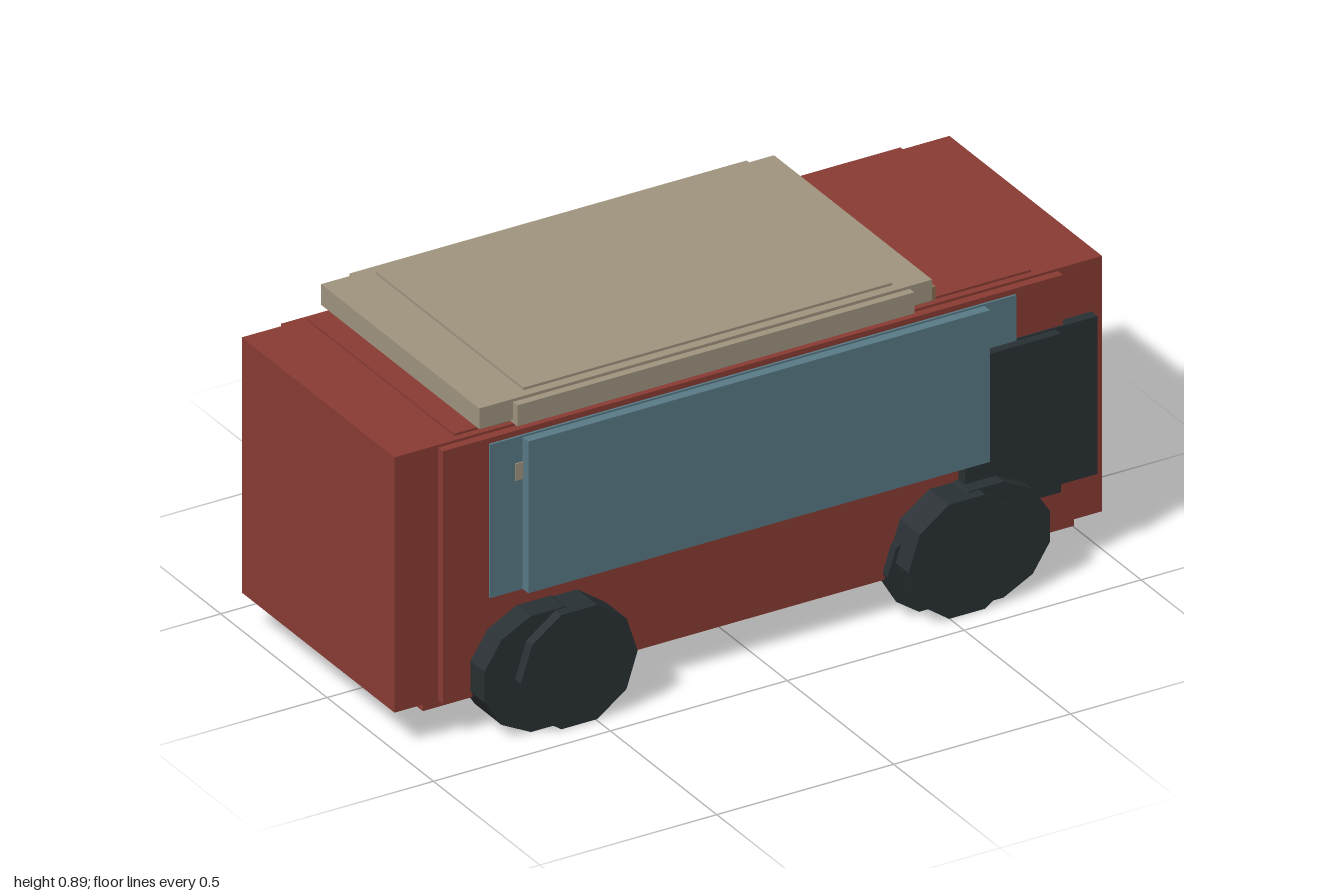
import * as THREE from 'three';

const mat = (color) => new THREE.MeshStandardMaterial({ color, flatShading: true });

export function createModel() {
  const model = new THREE.Group();
  const red = mat(0x8a3b34), tan = mat(0xa0947f), brown = mat(0x8c7053);
  const blue = mat(0x587a87), dark = mat(0x293033);

  // Box given by its limits on each axis
  const box = (name, m, [x0, x1], [y0, y1], [z0, z1]) => {
    const mesh = new THREE.Mesh(new THREE.BoxGeometry(x1 - x0, y1 - y0, z1 - z0), m);
    mesh.position.set((x0 + x1) / 2, (y0 + y1) / 2, (z0 + z1) / 2);
    mesh.name = name;
    model.add(mesh);
  };

  // Body with stepped sides, roof and floor
  box('body', red, [-1, 1], [0.11, 0.812], [-0.4, 0.317]);
  box('sidePanels', red, [-0.877, 0.875], [0.11, 0.805], [-0.422, 0.34]);
  box('roofPanel', red, [-0.82, 0.81], [0.75, 0.818], [-0.39, 0.298]);
  box('floor', red, [-0.92, 0.92], [0.092, 0.15], [-0.395, 0.317]);
  box('floorPlate', red, [-0.82, 0.82], [0.089, 0.15], [-0.312, 0.293]);

  // Roof rack in stacked slabs
  box('rackBase', brown, [-0.72, 0.535], [0.815, 0.853], [-0.388, 0.308]);
  box('rackSlab', tan, [-0.77, 0.51], [0.833, 0.89], [-0.41, 0.333]);
  box('rackSides', tan, [-0.675, 0.447], [0.824, 0.882], [-0.434, 0.354]);
  box('rackTop', tan, [-0.63, 0.412], [0.85, 0.897], [-0.388, 0.308]);

  // Stripe on the back, running through to the window
  box('stripe', tan, [-0.677, 0.46], [0.672, 0.719], [-0.434, 0.349]);

  // Side window in two layers
  box('windowFrame', blue, [-0.747, 0.74], [0.368, 0.79], [0.25, 0.346]);
  box('window', blue, [-0.655, 0.65], [0.368, 0.785], [0.25, 0.372]);

  // Dark door panel
  box('doorPanel', dark, [0.58, 0.852], [0.228, 0.664], [0.25, 0.37]);
  box('doorEdge', dark, [0.7, 0.97], [0.234, 0.668], [0.25, 0.345]);

  // Faceted wheels: each disc is [x, y, rx, ry, zBack, zFront, taper, sides]
  const discs = [
    [0.548, 0.164, 0.165, 0.165, 0.3, 0.434, 1, 10],
    [0.62, 0.165, 0.185, 0.165, 0.28, 0.406, 1, 12],
    [0.58, 0.16, 0.2, 0.155, 0.24, 0.372, 0.85, 10],
    [0.49, 0.13, 0.13, 0.125, 0.24, 0.372, 0.8, 10],
  ];
  for (const side of [-1, 1]) {
    const wheel = new THREE.Group();
    wheel.name = side < 0 ? 'rightWheel' : 'leftWheel';
    for (const [x, y, rx, ry, z0, z1, taper, sides] of discs) {
      const geo = new THREE.CylinderGeometry(1, taper, z1 - z0, sides, 1, false, Math.PI / sides);
      geo.rotateX(Math.PI / 2).scale(rx, ry, 1);
      const disc = new THREE.Mesh(geo, dark);
      disc.position.set(side * x, y, (z0 + z1) / 2);
      disc.name = 'wheelDisc';
      wheel.add(disc);
    }
    model.add(wheel);
  }
  return model;
}
